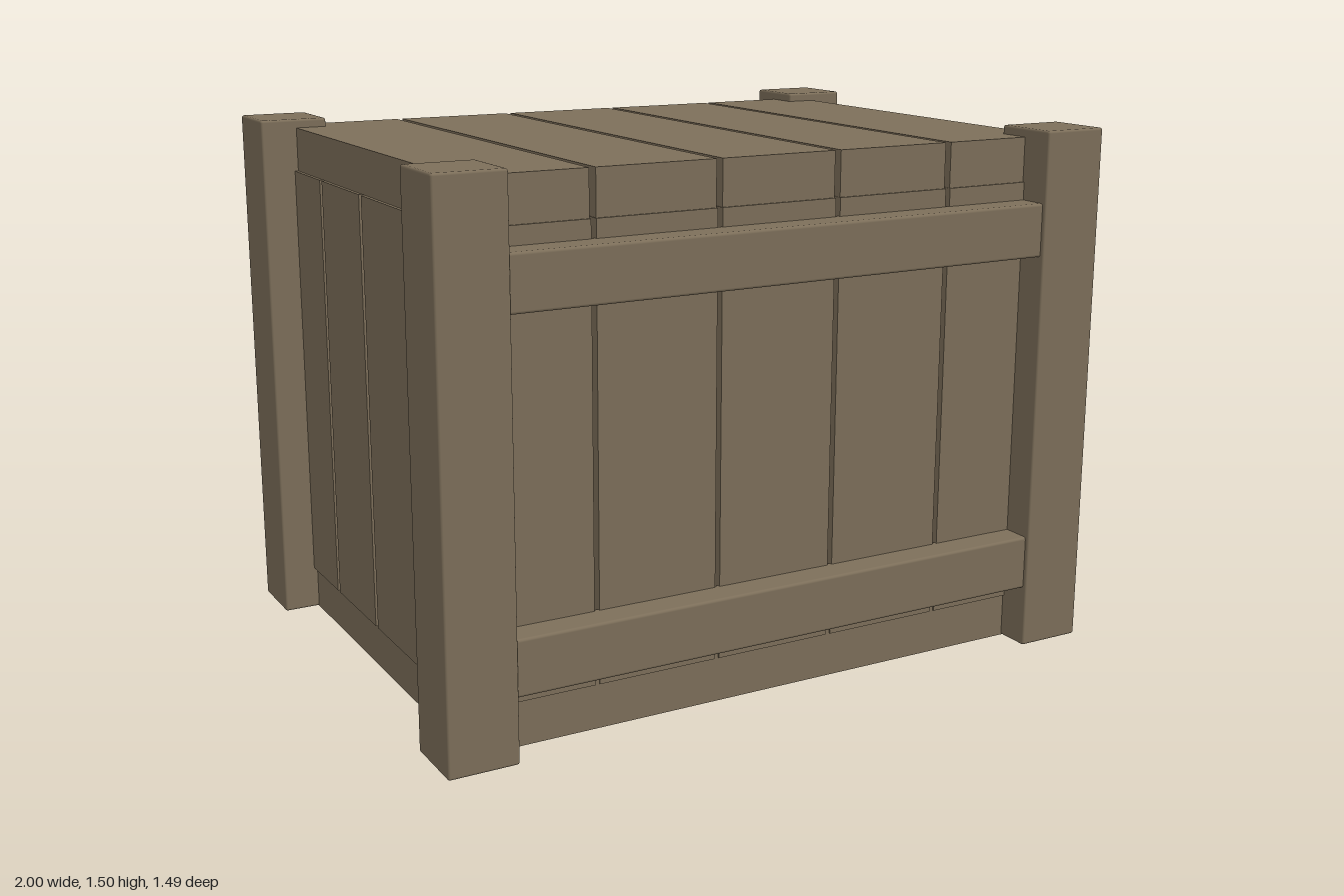
import * as THREE from 'three';
import { RoundedBoxGeometry } from 'three/addons/geometries/RoundedBoxGeometry.js';

export function createModel() {
  const crate = new THREE.Group();
  crate.name = 'crate';
  const wood = new THREE.MeshStandardMaterial({ color: 0x7d6f5a });
  wood.name = 'weathered wood';

  // Box given by its min and max on each axis; a bevel softens the edges
  function board(name, [x0, x1], [y0, y1], [z0, z1], bevel = 0) {
    const size = [x1 - x0, y1 - y0, z1 - z0];
    const geometry = bevel
      ? new RoundedBoxGeometry(...size, 2, bevel)
      : new THREE.BoxGeometry(...size);
    const mesh = new THREE.Mesh(geometry, wood);
    mesh.name = name;
    mesh.position.set((x0 + x1) / 2, (y0 + y1) / 2, (z0 + z1) / 2);
    crate.add(mesh);
  }

  // Spans of planks between -end and end, parted by gaps at the given centres
  function spans(end, centres, gap) {
    const starts = [-end, ...centres.map((c) => c + gap / 2)];
    const ends = [...centres.map((c) => c - gap / 2), end];
    return starts.map((s, i) => [s, ends[i]]);
  }
  const range = (a, b, sign) => (sign > 0 ? [a, b] : [-b, -a]);
  const wideGaps = [-0.54, -0.18, 0.18, 0.54];

  // Solid floor
  board('floor', [-0.895, 0.895], [0, 0.175], [-0.65, 0.65]);

  // Thick lid planks running front to back
  for (const x of spans(0.895, wideGaps, 0.018)) board('lidPlank', x, [1.35, 1.475], [-0.65, 0.65]);

  for (const s of [1, -1]) {
    // Upright planks of the front and back walls
    for (const x of spans(0.88, wideGaps, 0.014)) {
      board('wallPlank', x, [0.125, 1.35], range(0.61, 0.655, s));
    }
    // Upright planks of the two end walls
    for (const z of spans(0.64, [-0.322, 0, 0.322], 0.017)) {
      board('endPlank', range(0.86, 0.905, s), [0.125, 1.35], z);
    }
    // Horizontal rails between the posts
    for (const y of [[0.175, 0.33], [1.15, 1.3]]) {
      board('rail', [-0.82, 0.82], y, range(0.64, 0.737, s), 0.008);
    }
    // Corner posts
    for (const t of [1, -1]) {
      board('cornerPost', range(0.805, 1, t), [0, 1.5], range(0.553, 0.747, s), 0.007);
    }
  }

  // Loose batten on the back wall
  board('backBatten', [-0.25, 0.665], [0.62, 0.81], [-0.735, -0.645]);

  return crate;
}
